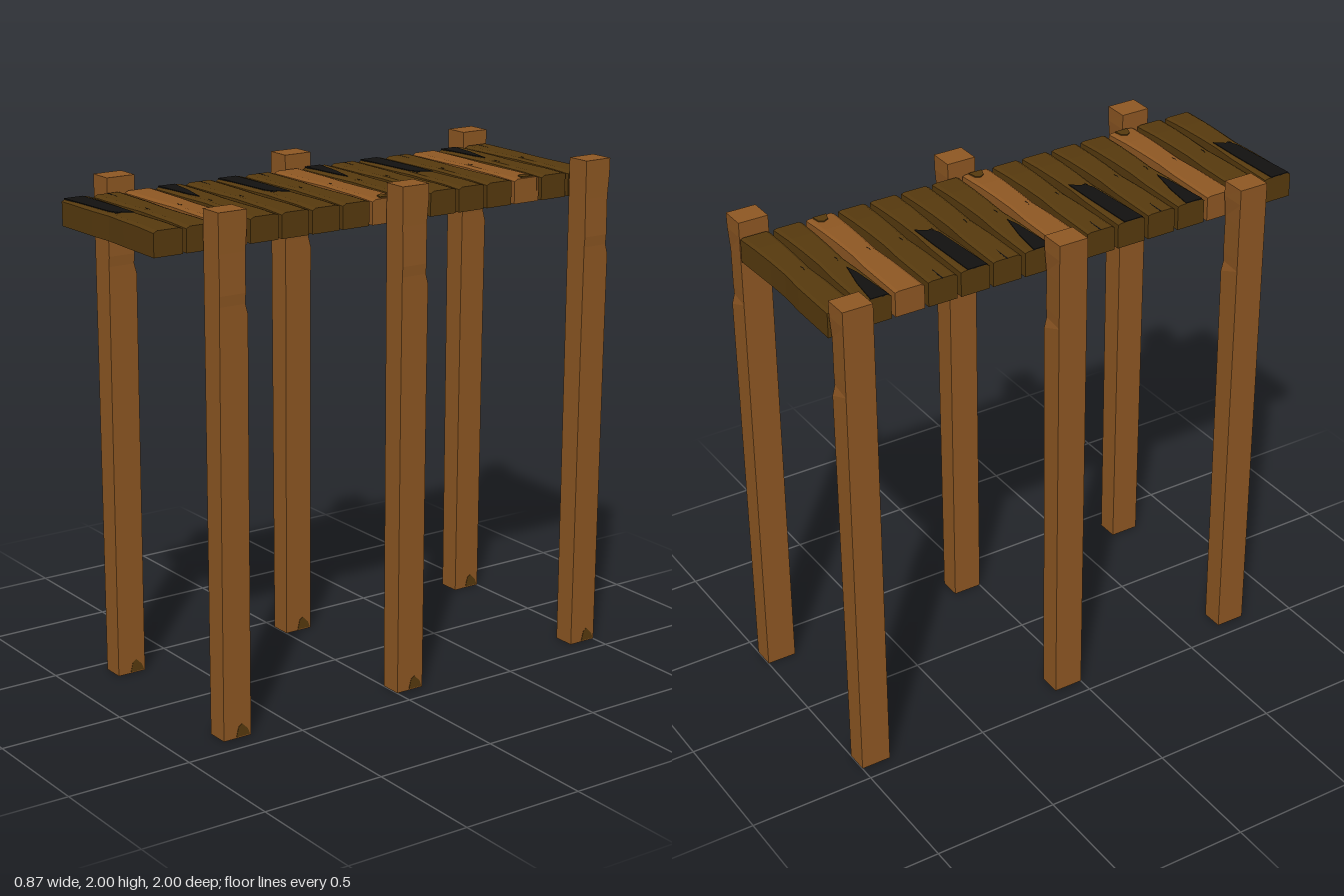
import * as THREE from 'three';

const postWood = new THREE.MeshStandardMaterial({ color: 0x8f5823 });
postWood.name = 'light wood';
const plankWood = new THREE.MeshStandardMaterial({ color: 0x573a0e });
plankWood.name = 'dark wood';
const char = new THREE.MeshStandardMaterial({ color: 0x121110 });
char.name = 'black char';
for (const m of [postWood, plankWood, char]) m.flatShading = true;

const PLANKS = 15, WIDTH = 0.12, LENGTH = 0.65, LOW = 1.845, HIGH = 1.945;

// Piecewise-linear lookup through [position, value] pairs
function ramp(points, t) {
  for (let i = 1; i < points.length; i++) {
    const [a, va] = points[i - 1], [b, vb] = points[i];
    if (t <= b) return va + (vb - va) * Math.max(0, (t - a) / (b - a));
  }
  return points[points.length - 1][1];
}

// Moves every corner of a segmented box by a rule, keeping flat faces
function carve(box, rule) {
  const geo = box.toNonIndexed();
  const p = geo.attributes.position, v = new THREE.Vector3();
  for (let i = 0; i < p.count; i++) {
    v.fromBufferAttribute(p, i);
    rule(v);
    p.setXYZ(i, v.x, v.y, v.z);
  }
  geo.computeVertexNormals();
  return geo;
}

// Thin plate from an outline of [x, z] points, lying flat with its top at y = 0.003
function plate(outline) {
  const shape = new THREE.Shape(outline.map(([x, z]) => new THREE.Vector2(x, -z)));
  const geo = new THREE.ExtrudeGeometry(shape, { depth: 0.005, bevelEnabled: false });
  geo.rotateX(-Math.PI / 2);
  geo.translate(0, -0.002, 0);
  return geo;
}

function add(parent, name, geo, mat, x = 0, y = 0, z = 0) {
  const mesh = new THREE.Mesh(geo, mat);
  mesh.name = name;
  mesh.position.set(x, y, z);
  parent.add(mesh);
  return mesh;
}

// Plank: full width at the ends, hewn narrower toward the middle
function plankGeometry() {
  const waistFront = [[-0.325, 0], [-0.11, 0.004], [0, 0.011], [0.11, 0.006], [0.325, 0.001]];
  const waistBack = [[-0.325, 0.001], [-0.11, 0.003], [0, 0.01], [0.11, 0.009], [0.325, 0]];
  return carve(new THREE.BoxGeometry(LENGTH, HIGH - LOW, WIDTH, 6, 1, 8), v => {
    const side = v.z / (WIDTH / 2);
    v.z -= side * ramp(side > 0 ? waistFront : waistBack, v.x);
    // softened upper edges
    if (v.y > 0 && Math.abs(side) > 0.99) v.y -= side > 0 ? 0.008 : 0.004;
    if (v.y > 0 && v.x > 0.3) v.y -= 0.004;
  });
}

// Post: slight taper to the foot and a shallow scar near the top on the back edge
function postGeometry() {
  const levels = [0, 0.3, 1.2, 1.62, 1.66, 1.7, 1.85, 1.94, 2];
  const scar = [[1.62, 0], [1.66, 0.011], [1.85, 0.009], [1.94, 0.001], [2, 0]];
  const outer = [[0, 0.04], [1.2, 0.046], [1.66, 0.05], [1.7, 0.053], [1.85, 0.05], [2, 0.05]];
  return carve(new THREE.BoxGeometry(0.1, 2, 0.12, 1, levels.length - 1, 1), v => {
    v.y = levels[Math.round((v.y + 1) / 2 * (levels.length - 1))];
    if (v.x > 0) {
      v.x = ramp(outer, v.y);
      if (v.z < 0) v.z += ramp(scar, v.y);
    }
  });
}

export function createModel() {
  const group = new THREE.Group();
  group.name = 'footbridge';

  // Painted wear marks, relative to each plank's centre
  const longChar = plate([[-0.325, -0.03], [-0.1, -0.037], [0.035, -0.038], [0.005, 0.0],
    [0.01, 0.012], [-0.03, 0.03], [-0.325, 0.05]]);
  const shortChar = plate([[-0.325, -0.022], [-0.2, -0.006], [-0.075, 0.022], [-0.13, 0.034], [-0.325, 0.05]]);
  const endChip = plate([[0.32, -0.035], [0.32, 0.022], [0.285, 0.01], [0.272, -0.012], [0.285, -0.03]]);
  const sliver = plate([[-0.325, -0.012], [-0.26, -0.004], [-0.25, 0.002], [-0.325, 0.004]]);
  const crack = plate([[-0.02, 0.02], [0.0, 0.026], [0.02, 0.022], [0.0, 0.034]]);

  // Deck, repeating every five planks
  const plank = plankGeometry();
  const pitch = (2 - WIDTH) / (PLANKS - 1);
  for (let i = 0; i < PLANKS; i++) {
    const kind = i % 5, z = -1 + WIDTH / 2 + i * pitch;
    const light = kind === 2;
    const unit = new THREE.Group();
    unit.name = 'plank';
    unit.position.z = z;
    group.add(unit);
    add(unit, 'plankBoard', plank, light ? postWood : plankWood, 0, (LOW + HIGH) / 2, 0);
    if (kind === 4) add(unit, 'longCharMark', longChar, char, 0, HIGH, 0);
    if (kind === 1) add(unit, 'shortCharMark', shortChar, char, 0, HIGH, 0);
    if (light) {
      add(unit, 'endChip', endChip, plankWood, 0, HIGH - 0.001, 0);
      // matching chip on the end face
      const face = plate([[0, -0.05], [0.05, -0.05], [0.05, 0.03]]);
      face.rotateZ(-Math.PI / 2);
      face.scale(1, -1, 1);
      face.index || face.computeVertexNormals();
      const mark = add(unit, 'endFaceChip', face, plankWood, LENGTH / 2, HIGH - 0.058, 0);
      mark.material = plankWood;
    } else if (kind === 0 || kind === 3) {
      add(unit, 'splitMark', sliver, char, 0, HIGH - 0.0025, 0).scale.set(1, 1, 0.4);
    }
    add(unit, 'crack', crack, char, 0, HIGH - 0.002, 0.012).scale.set(0.8, 1, 0.4);
  }

  // Six posts with worn feet
  const post = postGeometry();
  const footBase = plate([[-0.03, -0.055], [0.038, -0.055], [0.038, 0.03], [0.01, 0.052], [-0.04, 0.02]]);
  const footShape = new THREE.Shape([[-0.005, 0.005], [0.055, 0.005], [0.045, 0.03], [0.02, 0.055], [0.005, 0.045]]
    .map(([x, y]) => new THREE.Vector2(x, y)));
  const footSide = new THREE.ExtrudeGeometry(footShape, { depth: 0.004, bevelEnabled: false });
  footSide.rotateY(Math.PI / 2);
  for (const x of [-0.388, 0.382]) {
    for (const z of [0.74, -0.06, -0.94]) {
      const unit = new THREE.Group();
      unit.name = 'post';
      unit.position.set(x, 0, z);
      group.add(unit);
      add(unit, 'postBeam', post, postWood);
      add(unit, 'footWear', footBase, plankWood, 0, 0.001, 0);
      add(unit, 'footChip', footSide, plankWood, 0.038, 0, 0);
    }
  }
  return group;
}
